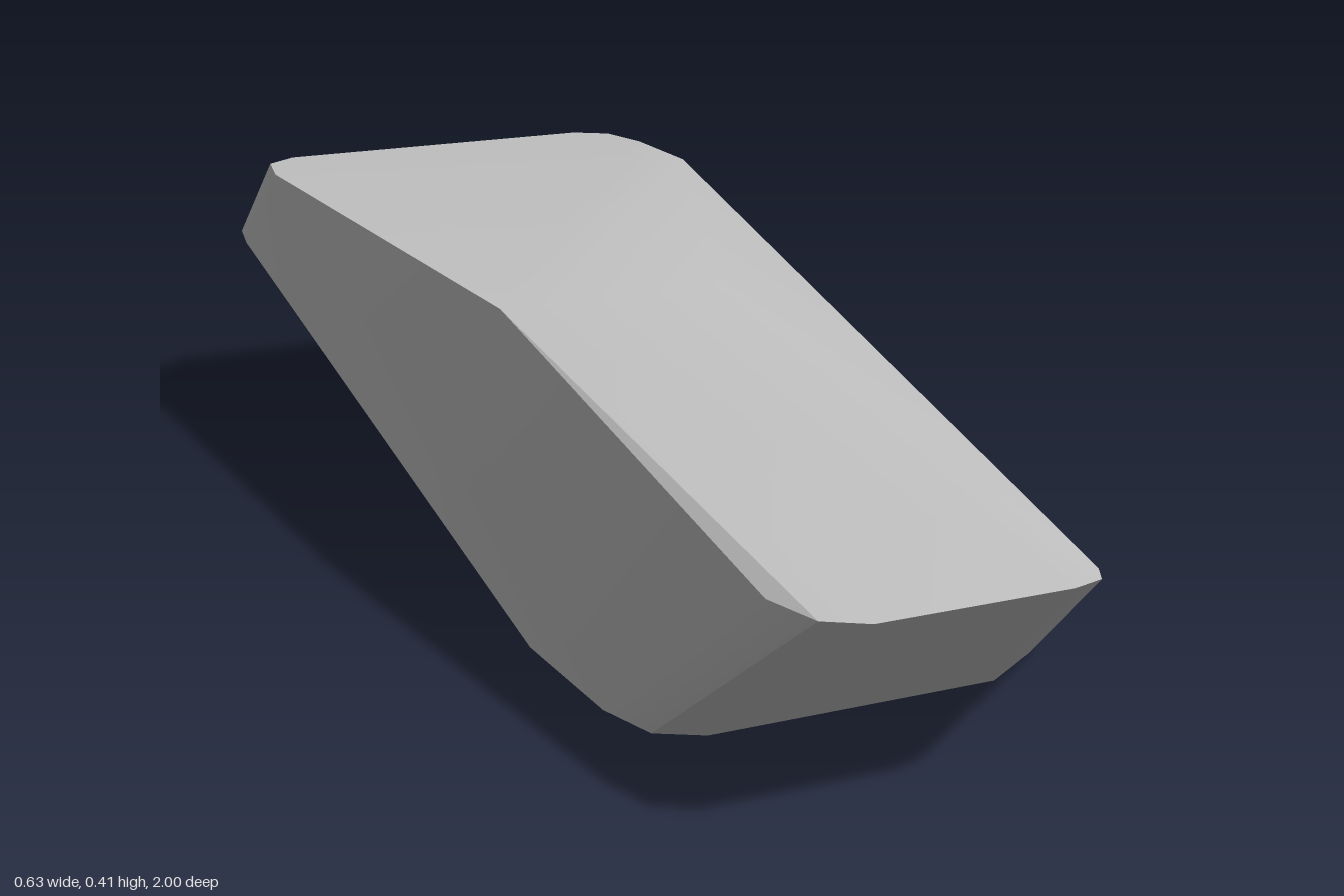
import * as THREE from 'three';
import { ConvexGeometry } from 'three/addons/geometries/ConvexGeometry.js';
import { toCreasedNormals } from 'three/addons/utils/BufferGeometryUtils.js';

const TOP = 0.41, MID = 0.27;

// Three points rounding a corner from (xIn, zEnd) to (xOut, zSide)
function corner(y, xIn, zEnd, xOut, zSide) {
  const bulge = 0.72;
  return [
    [xIn, y, zEnd],
    [xIn + (xOut - xIn) * bulge, y, zSide + (zEnd - zSide) * bulge],
    [xOut, y, zSide],
  ];
}

export function createModel() {
  const group = new THREE.Group();
  const stone = new THREE.MeshStandardMaterial({ color: 0xbfbfbf });
  stone.name = 'light grey';

  const points = [];

  // Rounded rear corners: top deck, rear ridge and flat underside
  for (const s of [-1, 1]) {
    points.push(
      ...corner(TOP, s * 0.24, -0.835, s * 0.305, -0.72),
      ...corner(MID, s * 0.24, -1, s * 0.307, -0.88),
      ...corner(0, s * 0.235, 0.15, s * 0.313, 0.28),
    );
  }

  // Front of the top deck, cut diagonally on one side
  points.push([-0.305, TOP, 0.18], [0, TOP, 0.18], [0.305, TOP, -0.56]);

  // Pointed nose edge
  points.push(
    ...corner(MID, -0.24, 1, -0.305, 0.89),
    ...corner(MID, 0, 1, 0.055, 0.96),
  );

  // Front of the flat underside
  points.push(
    ...corner(0, -0.235, 0.62, -0.313, 0.5),
    [0.15, 0, 0.62], [0.24, 0, 0.56], [0.313, 0, 0.4],
  );

  const hull = new ConvexGeometry(points.map((p) => new THREE.Vector3(...p)));
  const wedge = new THREE.Mesh(toCreasedNormals(hull, THREE.MathUtils.degToRad(30)), stone);
  wedge.name = 'wedgeBody';
  group.add(wedge);
  return group;
}
